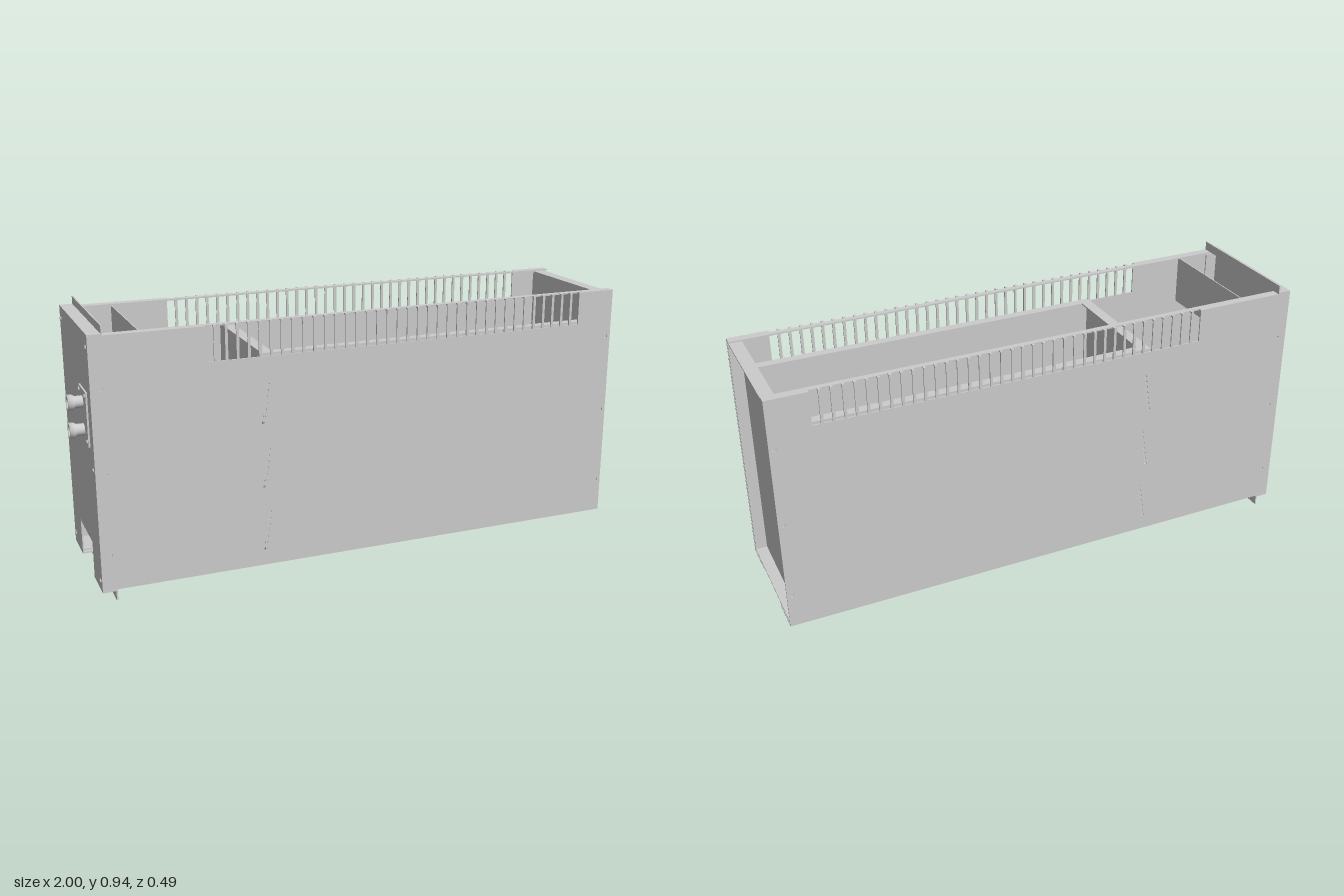
import * as THREE from 'three';

const T = 0.005; // sheet thickness
const X0 = -0.945, X1 = 0.998, Y0 = 0.04, Y1 = 0.91, Z = 0.243;
const SLOTS = 37, PITCH = 0.0386, SLOT_X = -0.565, SLOT_W = 0.029;

export function createModel() {
  const root = new THREE.Group();
  const mat = new THREE.MeshStandardMaterial({ color: 0xcccccc, side: THREE.DoubleSide });

  const add = (name, geo, parent = root) => {
    const m = new THREE.Mesh(geo, mat);
    m.name = name;
    parent.add(m);
    return m;
  };
  // box given by its limits on each axis
  const box = (name, xa, xb, ya, yb, za, zb, parent = root) => {
    const m = add(name, new THREE.BoxGeometry(xb - xa, yb - ya, zb - za), parent);
    m.position.set((xa + xb) / 2, (ya + yb) / 2, (za + zb) / 2);
    return m;
  };
  const hole = (shape, x, y, r) => {
    const p = new THREE.Path();
    p.absarc(x, y, r, 0, Math.PI * 2, true);
    shape.holes.push(p);
  };
  const sheet = (shape) => new THREE.ExtrudeGeometry(shape, { depth: T, bevelEnabled: false, curveSegments: 5 });
  // strip whose upper edge is notched by the ventilation slots
  const notchedShape = (low, high, notchLow) => {
    const s = new THREE.Shape();
    s.moveTo(X0 + T, low);
    s.lineTo(X1, low);
    s.lineTo(X1, high);
    for (let i = SLOTS - 1; i >= 0; i--) {
      const a = SLOT_X + i * PITCH, b = a + SLOT_W;
      s.lineTo(b, high);
      s.lineTo(b, notchLow);
      s.lineTo(a, notchLow);
      s.lineTo(a, high);
    }
    s.lineTo(X0 + T, high);
    return s;
  };

  // side panels with slots, screw holes and three slanted rows of small holes
  const sideShape = notchedShape(Y0, Y1, 0.79);
  for (const y of [0.165, 0.45, 0.735]) {
    hole(sideShape, -0.91, y, 0.006);
    hole(sideShape, 0.98, y, 0.007);
  }
  for (const top of [0.695, 0.465, 0.235]) {
    for (let i = 0; i < 7; i++) hole(sideShape, -0.352 - i * 0.0033, top - i * 0.0225, 0.0055);
  }
  const sideGeo = sheet(sideShape);
  const topGeo = sheet(notchedShape(0.21, Z - T, 0.23));
  for (const s of [1, -1]) {
    const side = new THREE.Group();
    side.name = s > 0 ? 'frontSide' : 'backSide';
    root.add(side);
    add('sidePanel', sideGeo, side).position.z = s > 0 ? Z - T : -Z;
    const rim = add('topRim', topGeo, side);
    rim.rotation.x = s * Math.PI / 2;
    rim.position.y = s > 0 ? Y1 : Y1 - T;
    const strip = (name, xa, xb, ya, yb, za, zb) =>
      box(name, xa, xb, ya, yb, Math.min(s * za, s * zb), Math.max(s * za, s * zb), side);
    strip('bottomFlange', X0 + T, X1, Y0, Y0 + T, 0.118, Z - T);
    strip('trayWall', -0.37, 0.95, 0.05, 0.80, Z - 2 * T, Z - T);
    strip('trayRim', -0.37, 0.95, 0.795, 0.80, 0.205, Z - 2 * T);
    strip('leftEndFlange', X0 + T, -0.895, 0.06, 0.89, Z - 2 * T, Z - T);
    strip('rightEndFlange', 0.95, X1 - 0.002, 0.05, 0.89, Z - 2.2 * T, Z - T);
  }

  // inner tray: floor, cross wall and its folded rim
  box('trayFloor', -0.37, 0.95, 0.046, 0.051, -0.233, 0.233);
  box('trayCrossWall', -0.37, -0.365, 0.05, 0.80, -0.233, 0.233);
  box('trayCrossRim', -0.365, -0.33, 0.795, 0.80, -0.205, 0.205);

  // recessed end panel with flanges folded outward
  box('rightEndPanel', 0.95, 0.955, 0.046, 0.90, -0.233, 0.233);
  box('rightEndTopFlange', 0.95, X1 - 0.002, 0.895, 0.90, -0.233, 0.233);
  box('rightEndBottomFlange', 0.95, X1 - 0.002, 0.046, 0.051, -0.233, 0.233);

  // short baffle hanging below the top rim
  box('baffle', -0.768, -0.764, 0.72, 0.90, -0.233, 0.233);

  // connector end plate with a cable opening at the foot
  const plate = new THREE.Shape();
  [[-Z, 0.034], [-0.105, 0.034], [-0.105, 0.165], [0.105, 0.165], [0.105, 0.034], [Z, 0.034], [Z, Y1 + T], [-Z, Y1 + T]]
    .forEach(([u, v], i) => (i ? plate.lineTo(u, v) : plate.moveTo(u, v)));
  const end = add('leftEndPlate', sheet(plate));
  end.rotation.y = Math.PI / 2;
  end.position.x = X0;

  // folded mounting lips above and below the end plate
  box('upperFold', X0, -0.895, Y1, Y1 + T, -Z, Z);
  box('upperLip', -0.9, -0.895, Y1, 0.942, -Z, Z);
  box('lowerFold', X0, -0.895, 0.034, 0.039, 0.105, Z);
  box('lowerFold', X0, -0.895, 0.034, 0.039, -Z, -0.105);
  box('lowerLip', -0.9, -0.895, 0, 0.028, -Z, Z);
  box('lowerLipTab', -0.9, -0.895, 0.028, 0.036, 0.105, Z);
  box('lowerLipTab', -0.9, -0.895, 0.028, 0.036, -Z, -0.105);

  // end plate screws
  const screwGeo = new THREE.CylinderGeometry(0.007, 0.009, 0.004, 10).rotateZ(Math.PI / 2);
  for (const y of [0.07, 0.46, 0.87]) {
    for (const z of [-0.22, 0.22]) add('screw', screwGeo).position.set(X0 - 0.002, y, z);
  }

  // connector base and two flared hollow connectors
  box('connectorBase', X0 - 0.006, X0, 0.53, 0.715, 0.07, 0.19);
  const profile = [[0, 0.015], [0.013, 0.015], [0.016, 0.055], [0.027, 0.055], [0.026, 0.04], [0.02, 0.03], [0.02, 0]]
    .map(([r, h]) => new THREE.Vector2(r, h));
  const connectorGeo = new THREE.LatheGeometry(profile.reverse(), 24).rotateZ(Math.PI / 2);
  const stubGeo = new THREE.CylinderGeometry(0.009, 0.009, 0.07, 12).rotateZ(Math.PI / 2);
  for (const y of [0.575, 0.67]) {
    add('connector', connectorGeo).position.set(X0, y, 0.128);
    add('connectorStub', stubGeo).position.set(-0.905, y, 0.128);
  }
  for (const y of [0.545, 0.7]) {
    for (const z of [0.083, 0.177]) add('baseScrew', screwGeo).position.set(X0 - 0.008, y, z);
  }
  return root;
}
